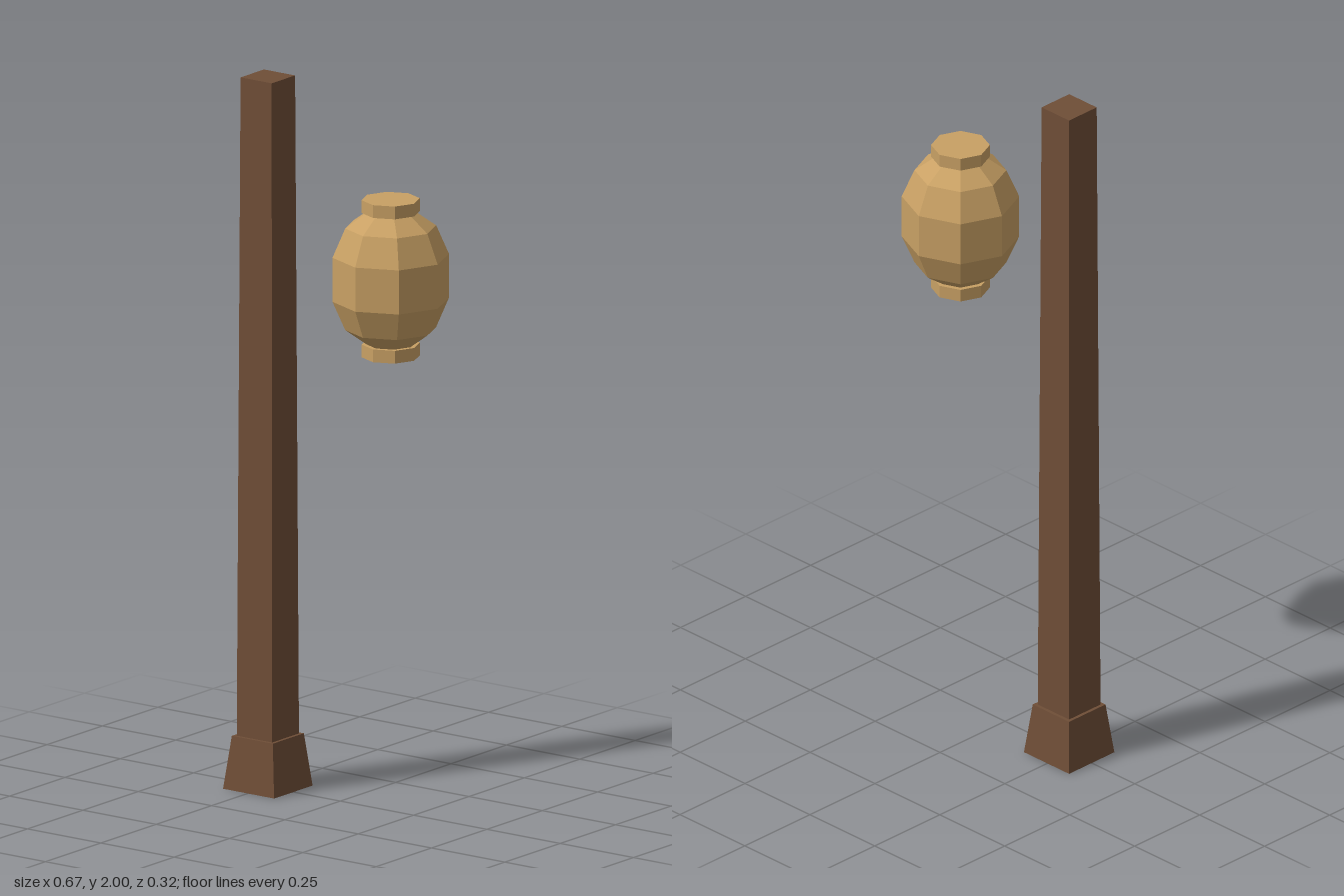
import * as THREE from 'three';

export function createModel() {
  const model = new THREE.Group();
  model.name = 'lanternPost';

  const wood = new THREE.MeshStandardMaterial({ color: 0x6f4e37, flatShading: true });
  wood.name = 'brown wood';
  const paper = new THREE.MeshStandardMaterial({ color: 0xc8a064, flatShading: true });
  paper.name = 'tan paper';

  function add(name, geometry, material, x, y) {
    const mesh = new THREE.Mesh(geometry, material);
    mesh.name = name;
    mesh.position.set(x, y, 0);
    model.add(mesh);
  }

  // Square tapered block given by its half widths
  const taper = (top, bottom, height) =>
    new THREE.CylinderGeometry(top * Math.SQRT2, bottom * Math.SQRT2, height, 4, 1, false, Math.PI / 4);

  // Post and its flared foot
  const postX = -0.247;
  add('postShaft', taper(0.053, 0.061, 2), wood, postX, 1);
  add('postFoot', taper(0.07, 0.087, 0.148), wood, postX, 0.074);

  // Eight-sided lantern body, mirrored about its middle
  const lanternX = 0.172;
  const half = [[0.16, 0.062], [0.125, 0.143], [0.064, 0.187]];
  const profile = [
    ...half.map(([r, y]) => new THREE.Vector2(r, -y)).reverse(),
    ...half.map(([r, y]) => new THREE.Vector2(r, y)),
  ];
  add('lanternBody', new THREE.LatheGeometry(profile, 8), paper, lanternX, 1.5);

  // Collars above and below
  for (const [name, side] of [['lanternTopCap', 1], ['lanternBottomCap', -1]]) {
    add(name, new THREE.CylinderGeometry(0.08, 0.08, 0.036, 8), paper, lanternX, 1.5 + side * 0.203);
  }

  return model;
}
